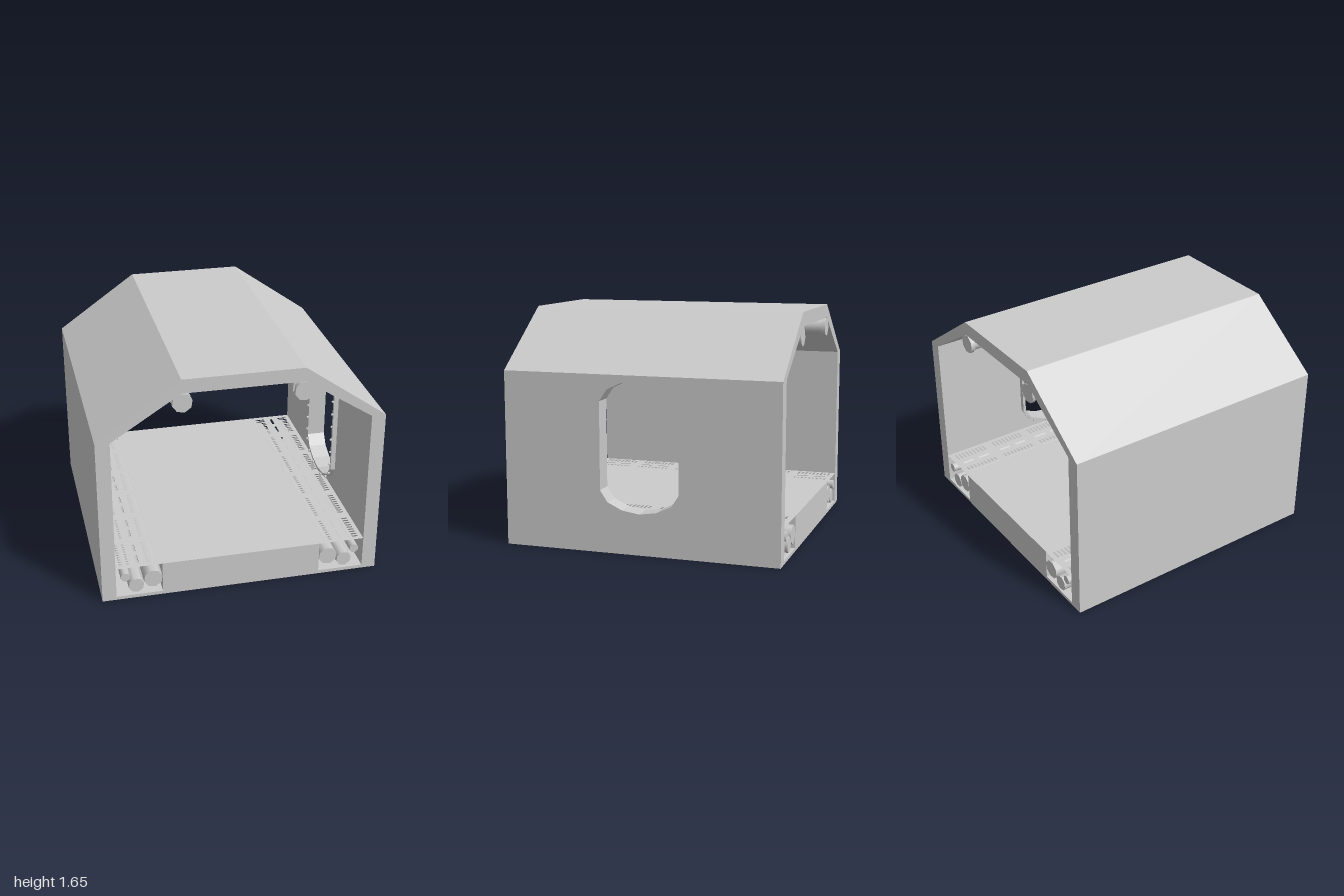
import * as THREE from 'three';

const LEN = 1.99;

export function createModel() {
  const model = new THREE.Group();
  const grey = new THREE.MeshStandardMaterial({ color: 0xcccccc });
  const thin = new THREE.MeshStandardMaterial({ color: 0xcccccc, side: THREE.DoubleSide });

  const add = (name, geometry, parent = model, material = grey) => {
    const mesh = new THREE.Mesh(geometry, material);
    mesh.name = name;
    parent.add(mesh);
    return mesh;
  };
  const toShape = (pts) => new THREE.Shape(pts.map(([x, y]) => new THREE.Vector2(x, y)));
  const extrude = (shape, depth) => new THREE.ExtrudeGeometry(shape, { depth, bevelEnabled: false });
  const rect = (x0, y0, x1, y1) => [[x0, y0], [x1, y0], [x1, y1], [x0, y1]];

  // Shell: left wall, faceted roof, base slab and raised walkway in one section
  const section = [
    [0.9, 0], [0.9, 0.025], [0.57, 0.025], [0.57, 0.255], [-0.57, 0.255], [-0.57, 0.025],
    [-0.9, 0.025], [-0.9, 1.245], [-0.42, 1.555], [0.42, 1.555], [0.9, 1.245], [1, 1.245],
    [0.42, 1.655], [-0.42, 1.655], [-1, 1.245], [-1, 0],
  ];
  add('shell', extrude(toShape(section), LEN).translate(0, 0, -LEN / 2));

  // Doorway outline with flattened arch ends, grown outward by g
  const doorway = (g) => {
    const pts = [];
    for (const [cy, start] of [[1.06, 0], [0.44, Math.PI]]) {
      for (let i = 0; i <= 6; i++) {
        const a = start + (i / 6) * Math.PI;
        const s = [0, 0.54, 0.87, 1, 0.87, 0.54, 0][i] * (start ? -1 : 1);
        const c = [1, 0.81, 0.44, 0, -0.44, -0.81, -1][i] * (Math.cos(start));
        pts.push([c * (0.285 + g), cy + s * (0.15 + g)]);
      }
    }
    return pts;
  };

  // Side wall with its doorway
  const wall = toShape(rect(-LEN / 2, 0, LEN / 2, 1.245));
  wall.holes.push(toShape(doorway(0)));
  add('doorWall', extrude(wall, 0.1).rotateY(Math.PI / 2).translate(0.9, 0, 0));

  // Door frame on the inner face, with studs around it
  const door = new THREE.Group();
  door.name = 'doorFrame';
  model.add(door);
  const ring = toShape(doorway(0.022));
  ring.holes.push(toShape(doorway(0)));
  add('frameRing', extrude(ring, 0.035).rotateY(Math.PI / 2).translate(0.865, 0, 0), door);
  const studs = [[0.1, 1.21], [0.214, 1.17], [0.286, 1.1], [0.296, 1.015], [0.296, 0.91], [0.296, 0.805]];
  for (const [z, y] of studs) {
    for (const side of [-1, 1]) {
      for (const sy of [y, 1.5 - y]) {
        add('stud', new THREE.CylinderGeometry(0.009, 0.009, 0.014, 6).rotateZ(Math.PI / 2), door)
          .position.set(0.859, sy, side * z);
      }
    }
  }

  // Pipe lying along the corridor
  const pipe = (name, parent, x, y, z, r, length) =>
    add(name, new THREE.CylinderGeometry(r, r, length, 8).rotateX(Math.PI / 2).rotateZ(0.25), parent)
      .position.set(x, y, z);

  // Slotted floor grating, drawn flat with u across and v along
  const gratingShape = () => {
    const shape = toShape(rect(0.57, -LEN / 2, 0.9, LEN / 2));
    const slot = (u0, v0, u1, v1) => shape.holes.push(toShape(rect(u0, v0, u1, v1)));
    const pitch = LEN / 6;
    for (let m = 0; m < 6; m++) {
      const v = -LEN / 2 + m * pitch;
      for (let i = 0; i < 9; i++) {
        const s = v + 0.035 + i * 0.03;
        slot(0.605, s, 0.675, s + 0.014);
        slot(0.8, s, 0.87, s + 0.014);
      }
      slot(0.728, v + 0.05, 0.748, v + 0.14);
      slot(0.728, v + 0.19, 0.748, v + 0.28);
    }
    return shape;
  };

  for (const side of [-1, 1]) {
    const label = side > 0 ? 'left' : 'right';

    const grating = new THREE.ShapeGeometry(gratingShape()).rotateX(-Math.PI / 2);
    if (side < 0) grating.rotateY(Math.PI);
    add(label + 'FloorGrating', grating.translate(0, 0.255, 0), model, thin);

    // Pipes in the floor channel
    const channel = new THREE.Group();
    channel.name = label + 'ChannelPipes';
    model.add(channel);
    for (const [x, y, r] of [[0.637, 0.14, 0.068], [0.758, 0.1, 0.056], [0.833, 0.178, 0.034]]) {
      pipe('channelPipe', channel, side * x, y, 0, r, LEN);
    }

    // Ceiling pipe with end flanges and couplings
    const ceiling = new THREE.Group();
    ceiling.name = label + 'CeilingPipe';
    model.add(ceiling);
    pipe('ceilingPipe', ceiling, side * 0.415, 1.485, 0, 0.056, LEN);
    for (const z of [-0.98, -0.58, -0.08, 0.42, 0.92, 0.98]) {
      pipe('coupling', ceiling, side * 0.415, 1.485, z, 0.07, 0.03);
    }
  }
  return model;
}
